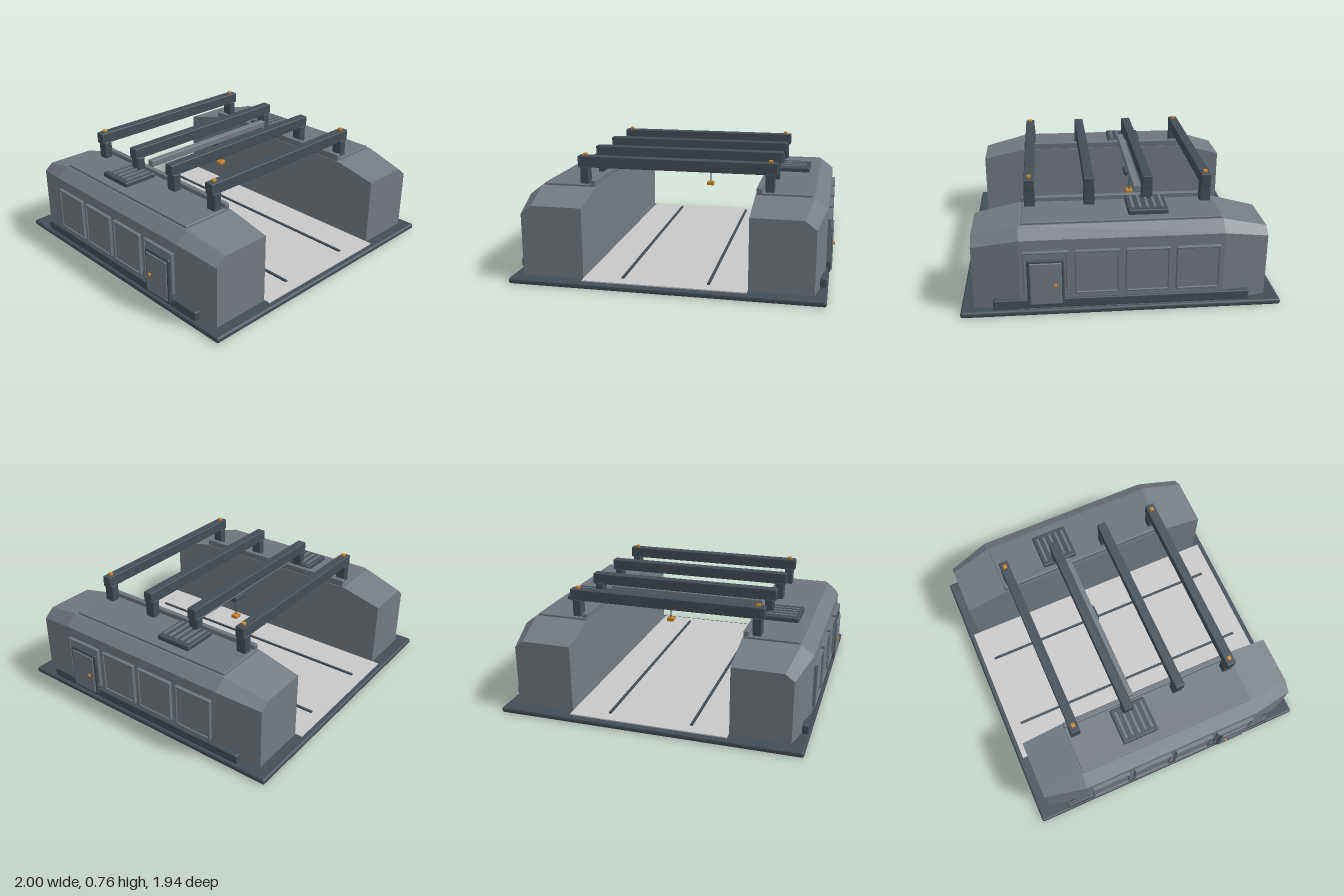
import * as THREE from 'three';
import { RoundedBoxGeometry } from 'three/addons/geometries/RoundedBoxGeometry.js';

const paint = (name, color) => {
  const m = new THREE.MeshStandardMaterial({ color });
  m.name = name;
  return m;
};

export function createModel() {
  const wall = paint('wall grey', 0x737b82);
  const panel = paint('panel grey', 0x6c747b);
  const dark = paint('dark steel', 0x434e57);
  const pale = paint('pale floor', 0xc8c8c8);
  const amber = paint('amber', 0xc98428);

  const model = new THREE.Group();
  model.name = 'hangar';

  // Box given by its limits on each axis; r rounds the edges
  function box(name, mat, [x0, x1], [y0, y1], [z0, z1], r = 0, parent = model) {
    const w = Math.abs(x1 - x0), h = y1 - y0, d = z1 - z0;
    const geo = r ? new RoundedBoxGeometry(w, h, d, 2, r) : new THREE.BoxGeometry(w, h, d);
    const mesh = new THREE.Mesh(geo, mat);
    mesh.position.set((x0 + x1) / 2, (y0 + y1) / 2, (z0 + z1) / 2);
    mesh.name = name;
    parent.add(mesh);
    return mesh;
  }

  // Side block lofted through five-sided sections, tapering at both ends
  function blockGeometry(s) {
    const section = (z, out, shoulder, edge, top) => [
      [0.51, 0.03], [out, 0.03], [out, shoulder], [edge, top], [0.51, top],
    ].map(([x, y]) => [s * x, y, z]);
    const rings = [
      section(-0.888, 0.885, 0.43, 0.83, 0.475),
      section(-0.61, 0.952, 0.487, 0.872, 0.548),
      section(0.61, 0.952, 0.487, 0.872, 0.548),
      section(0.892, 0.9, 0.43, 0.83, 0.485),
    ];
    const pos = [];
    const tri = (a, b, c) => pos.push(...(s > 0 ? [a, b, c] : [a, c, b]).flat());
    for (let i = 0; i < 3; i++) {
      for (let j = 0; j < 5; j++) {
        const k = (j + 1) % 5, p = rings[i], q = rings[i + 1];
        tri(p[j], p[k], q[k]);
        tri(p[j], q[k], q[j]);
      }
    }
    for (let j = 1; j < 4; j++) {
      tri(rings[3][0], rings[3][j], rings[3][j + 1]);
      tri(rings[0][0], rings[0][j + 1], rings[0][j]);
    }
    const geo = new THREE.BufferGeometry();
    geo.setAttribute('position', new THREE.Float32BufferAttribute(pos, 3));
    geo.computeVertexNormals();
    return geo;
  }

  // Ground slab, floor and floor guide strips
  box('baseSlab', dark, [-0.972, 0.972], [0, 0.036], [-0.972, 0.972], 0.014);
  box('floor', pale, [-0.508, 0.508], [0.03, 0.043], [-0.937, 0.935]);
  for (const x of [-0.267, 0.267])
    box('floorStrip', dark, [x - 0.008, x + 0.008], [0.04, 0.053], [-0.86, 0.855]);

  for (const s of [1, -1]) {
    const side = new THREE.Group();
    side.name = s > 0 ? 'leftSide' : 'rightSide';
    model.add(side);
    const part = (name, mat, x, y, z, r) => box(name, mat, [s * x[0], s * x[1]], y, z, r, side);

    const block = new THREE.Mesh(blockGeometry(s), wall);
    block.name = 'sideBlock';
    side.add(block);

    // Roof plate, crane rail and lower bumper
    part('roofPlate', panel, [0.52, 0.862], [0.54, 0.562], [-0.605, 0.595], 0.006);
    part('craneRail', panel, [0.515, 0.55], [0.54, 0.592], [-0.6, 0.595], 0.006);
    part('bumper', dark, [0.925, 0.964], [0.045, 0.105], [-0.77, 0.775], 0.008);

    // Framed wall panels
    for (const z of [0.458, 0.153, -0.148, -0.45]) {
      const z0 = z - 0.132, z1 = z + 0.132, t = 0.012;
      part('wallPanel', wall, [0.94, 0.965], [0.145, 0.415], [z0 + 0.004, z1 - 0.004]);
      for (const y of [0.14, 0.42 - t]) part('panelFrame', panel, [0.94, 0.975], [y, y + t], [z0, z1], 0.004);
      for (const e of [z0, z1 - t]) part('panelFrame', panel, [0.94, 0.975], [0.14, 0.42], [e, e + t], 0.004);
    }

    // Door with frame and knob
    part('doorFrame', dark, [0.94, 0.98], [0.072, 0.368], [0.348, 0.568], 0.008);
    part('door', wall, [0.96, 0.988], [0.083, 0.352], [0.364, 0.552], 0.006);
    part('doorKnob', amber, [0.98, 1], [0.2, 0.218], [0.392, 0.41], 0.004);

    // Roof vent with slats
    part('ventBox', dark, [0.565, 0.803], [0.555, 0.592], [-0.29, -0.047], 0.008);
    for (let i = 0; i < 5; i++) {
      const z = -0.258 + i * 0.045;
      part('ventSlat', panel, [0.592, 0.776], [0.588, 0.601], [z - 0.008, z + 0.008]);
    }
  }

  // Overhead beams on posts, with lamps on the outer two
  [-0.548, -0.183, 0.177, 0.543].forEach((z, i) => {
    box('roofBeam', dark, [-0.638, 0.638], [0.668, 0.742], [z - 0.031, z + 0.031], 0.006);
    for (const x of [-0.594, 0.594]) {
      box('beamPost', dark, [x - 0.028, x + 0.028], [0.54, 0.675], [z - 0.034, z + 0.034], 0.006);
      if (i % 3 === 0)
        box('beamLamp', amber, [x - 0.013, x + 0.013], [0.738, 0.757], [z - 0.013, z + 0.013], 0.004);
    }
  });

  // Travelling crane with trolley, cable and hook block
  box('craneBridge', wall, [-0.538, 0.535], [0.6, 0.645], [-0.152, -0.108], 0.006);
  box('craneTrolley', dark, [0.053, 0.153], [0.566, 0.602], [-0.168, -0.09], 0.008);
  const cable = new THREE.Mesh(new THREE.CylinderGeometry(0.004, 0.004, 0.13, 8), dark);
  cable.name = 'craneCable';
  cable.position.set(0.103, 0.508, -0.13);
  model.add(cable);
  box('hookBlock', amber, [0.079, 0.127], [0.424, 0.45], [-0.152, -0.108], 0.005);

  return model;
}
